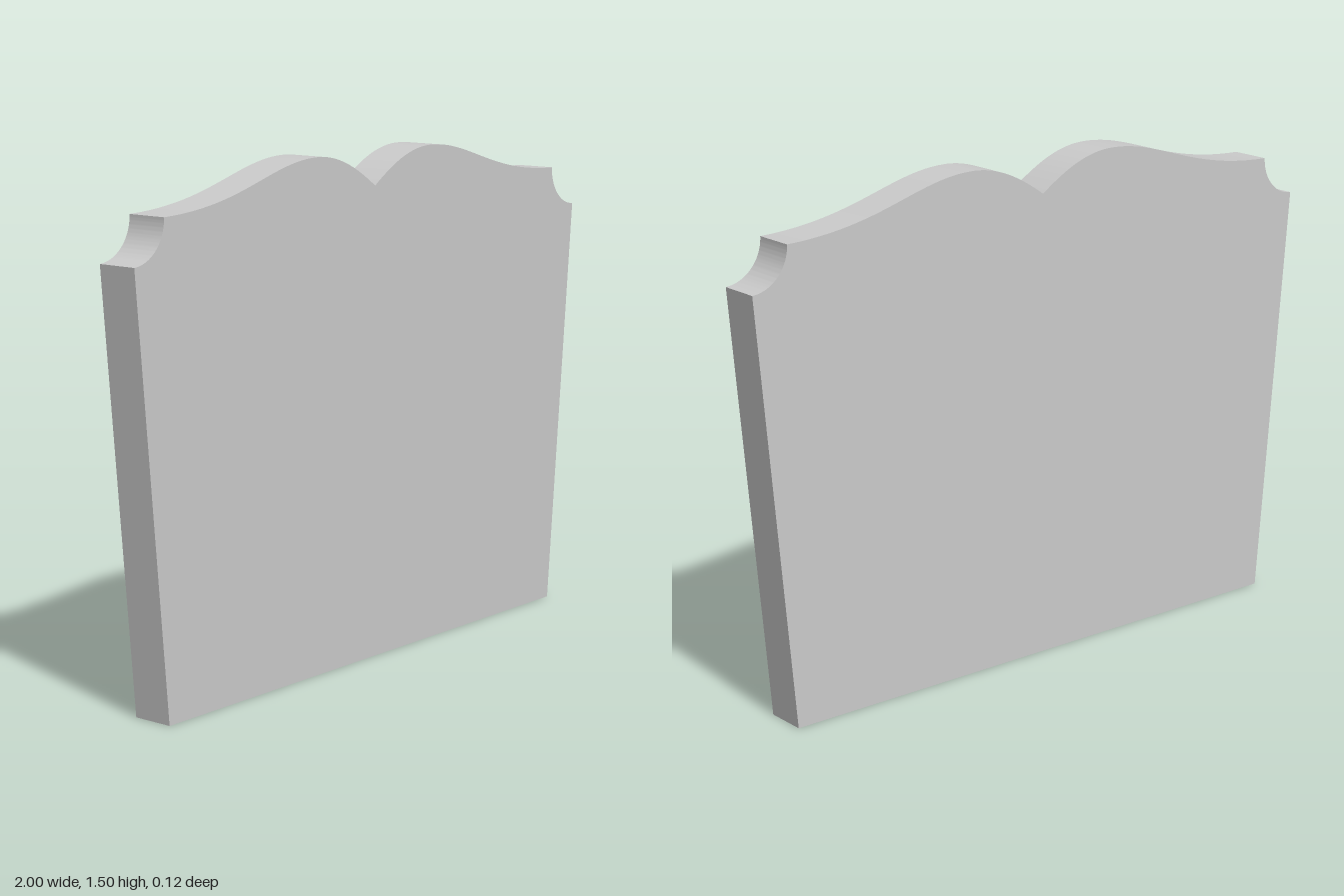
import * as THREE from 'three';
import { toCreasedNormals } from 'three/addons/utils/BufferGeometryUtils.js';

const DEPTH = 0.125;

// Half outline: centre cusp, crest, shoulder, scooped corner, tapered side
function halfOutline() {
  const path = new THREE.Path();
  path.moveTo(0, 1.4);
  path.bezierCurveTo(0.08, 1.455, 0.16, 1.5, 0.26, 1.5);
  path.bezierCurveTo(0.45, 1.5, 0.57, 1.392, 0.885, 1.387);
  path.absarc(1.005, 1.385, 0.12, Math.PI, Math.PI * 1.5 - 0.042, false);
  path.lineTo(0.89, 0);
  return path.getPoints(24);
}

export function createModel() {
  const group = new THREE.Group();
  group.name = 'headboard';

  // Mirror the half outline to close the panel
  const right = halfOutline();
  const left = right.slice(1).reverse().map((p) => new THREE.Vector2(-p.x, p.y));
  const shape = new THREE.Shape([...right, ...left]);

  const extruded = new THREE.ExtrudeGeometry(shape, { depth: DEPTH, bevelEnabled: false });
  extruded.translate(0, 0, -DEPTH / 2);

  const panel = new THREE.Mesh(
    toCreasedNormals(extruded, 0.5),
    new THREE.MeshStandardMaterial({ color: 0xcccccc })
  );
  panel.name = 'panel';
  group.add(panel);
  return group;
}
